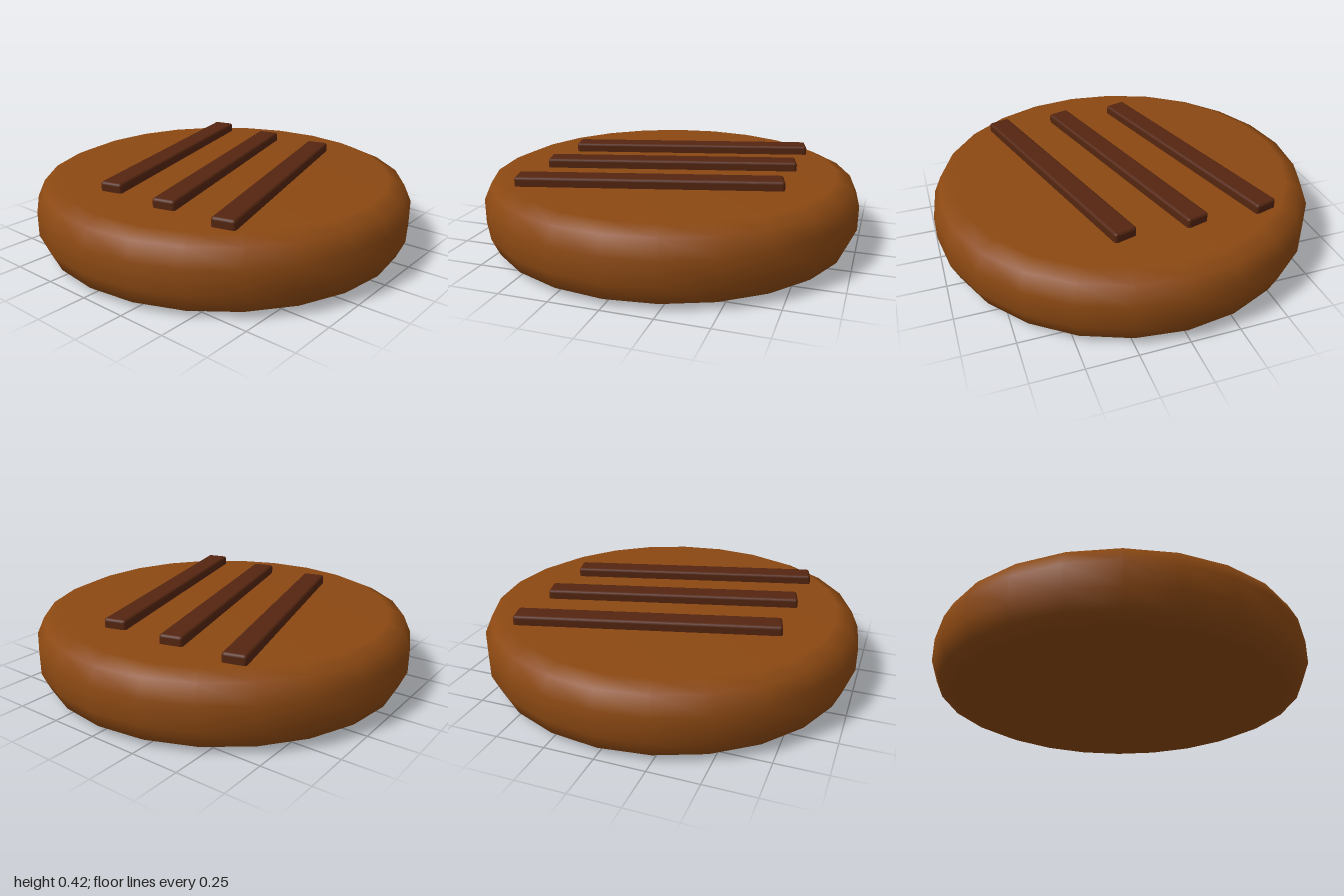
import * as THREE from 'three';
import { RoundedBoxGeometry } from 'three/addons/geometries/RoundedBoxGeometry.js';

export function createModel() {
  const model = new THREE.Group();
  model.name = 'grilledPatty';

  const brown = new THREE.MeshStandardMaterial({ color: 0x8b4812 });
  brown.name = 'cooked brown';
  const char = new THREE.MeshStandardMaterial({ color: 0x542510 });
  char.name = 'char brown';

  // Round patty with a softly bevelled rim
  const profile = [
    [0, 0], [0.88, 0], [0.96, 0.035], [1, 0.125],
    [1, 0.25], [0.96, 0.337], [0.88, 0.372], [0, 0.372],
  ].map(([r, y]) => new THREE.Vector2(r, y));
  const patty = new THREE.Mesh(new THREE.LatheGeometry(profile, 24), brown);
  patty.name = 'patty';
  model.add(patty);

  // Three parallel slanted grill marks, half sunk into the top
  const markGeometry = new RoundedBoxGeometry(1.335, 0.1, 0.12, 2, 0.015);
  [-0.36, 0, 0.36].forEach((z, i) => {
    const mark = new THREE.Mesh(markGeometry, char);
    mark.name = `grillMark${i + 1}`;
    mark.position.set(0, 0.37, z);
    mark.rotation.y = Math.PI / 12;
    model.add(mark);
  });

  return model;
}
